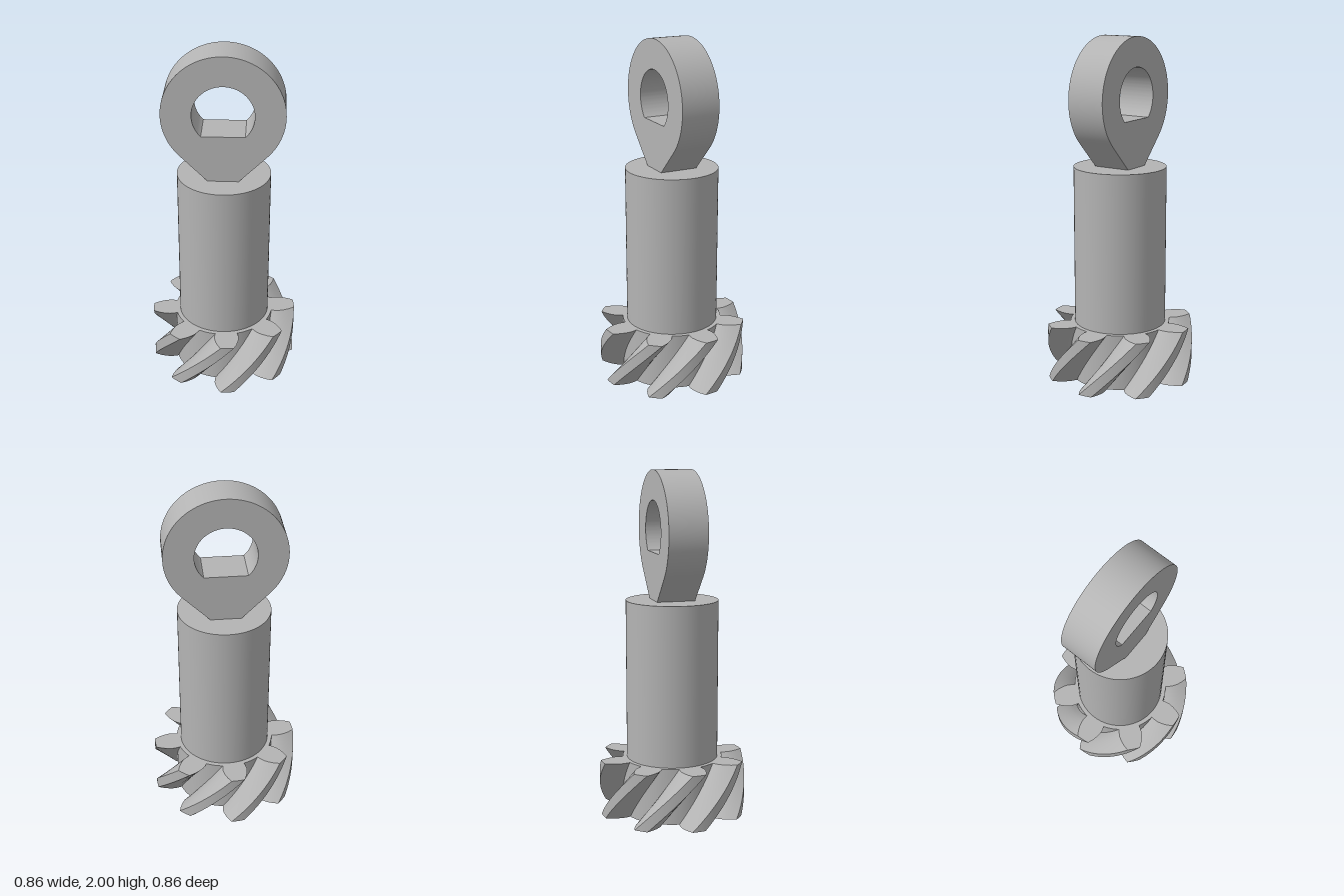
import * as THREE from 'three';
import { toCreasedNormals } from 'three/addons/utils/BufferGeometryUtils.js';

const TEETH = 8, GEAR_H = 0.33, SOCKET_R = 0.22, TOP = 1.26;

// Closed gear outline: r and half-angle (degrees) along one flank, mirrored per tooth
function gearShape() {
  const flank = [[0.293, 12.7], [0.315, 12.7], [0.34, 12.1], [0.37, 10.3], [0.4, 8], [0.43, 5.3]];
  const pitch = 360 / TEETH, points = [];
  const add = (r, deg) => {
    const a = THREE.MathUtils.degToRad(deg);
    points.push(new THREE.Vector2(r * Math.sin(a), r * Math.cos(a)));
  };
  for (let i = 0; i < TEETH; i++) {
    const c = i * pitch - 5.4;
    flank.forEach(([r, h]) => add(r, c - h));
    for (const d of [-2.7, 0, 2.7]) add(0.43, c + d);
    [...flank].reverse().forEach(([r, h]) => add(r, c + h));
    for (const d of [-5, 0, 5]) add(0.293, c + pitch / 2 + d);
  }
  const shape = new THREE.Shape(points.reverse());
  shape.holes.push(new THREE.Path().absarc(0, 0, SOCKET_R, 0, Math.PI * 2, false));
  return shape;
}

// Extrude the outline upwards, turning it by one tooth pitch over its height
function helicalGear() {
  const geo = new THREE.ExtrudeGeometry(gearShape(), {
    depth: GEAR_H, steps: 20, bevelEnabled: false, curveSegments: 48,
  });
  geo.rotateX(-Math.PI / 2);
  const pos = geo.attributes.position;
  const v = new THREE.Vector3(), up = new THREE.Vector3(0, 1, 0);
  for (let i = 0; i < pos.count; i++) {
    v.fromBufferAttribute(pos, i);
    v.applyAxisAngle(up, (v.y / GEAR_H) * (Math.PI * 2 / TEETH));
    pos.setXYZ(i, v.x, v.y, v.z);
  }
  return toCreasedNormals(geo, 0.5);
}

// Teardrop loop: a round top with 45 degree tangents running to the shaft
function eyelet() {
  const cy = 1.657, R = 0.343, r = 0.173, base = TOP - 0.01;
  const half = R * Math.SQRT2 - (cy - base);
  const shape = new THREE.Shape();
  shape.moveTo(-half, base);
  shape.lineTo(half, base);
  shape.absarc(0, cy, R, -Math.PI / 4, Math.PI * 1.25, false);
  shape.closePath();
  const hole = new THREE.Path();
  hole.moveTo(0, cy - r * Math.SQRT2);
  hole.absarc(0, cy, r, -Math.PI / 4, Math.PI * 1.25, false);
  hole.closePath();
  shape.holes.push(hole);
  const geo = new THREE.ExtrudeGeometry(shape, { depth: 0.224, bevelEnabled: false, curveSegments: 56 });
  geo.translate(0, 0, -0.112);
  return toCreasedNormals(geo, 0.5);
}

export function createModel() {
  const model = new THREE.Group();
  model.name = 'gearKey';
  const grey = new THREE.MeshStandardMaterial({ color: 0xb4b4b4 });
  grey.name = 'plainGrey';
  const add = (name, geo, parent = model) => {
    const mesh = new THREE.Mesh(geo, grey);
    mesh.name = name;
    parent.add(mesh);
    return mesh;
  };

  add('helicalGear', helicalGear());

  // Solid shaft; its underside closes the socket
  const shaft = add('shaft', new THREE.CylinderGeometry(0.268, 0.268, TOP - GEAR_H, 72));
  shaft.position.y = (TOP + GEAR_H) / 2;

  add('eyelet', eyelet());

  // Straight ribs around the socket wall
  const ribs = new THREE.Group();
  ribs.name = 'socketRibs';
  model.add(ribs);
  for (let i = 0; i < 8; i++) {
    const a = (i / 8) * Math.PI * 2;
    const rib = add('socketRib', new THREE.BoxGeometry(0.055, GEAR_H - 0.002, 0.05), ribs);
    rib.position.set(Math.sin(a) * 0.21, GEAR_H / 2, Math.cos(a) * 0.21);
    rib.rotation.y = a;
  }
  return model;
}
